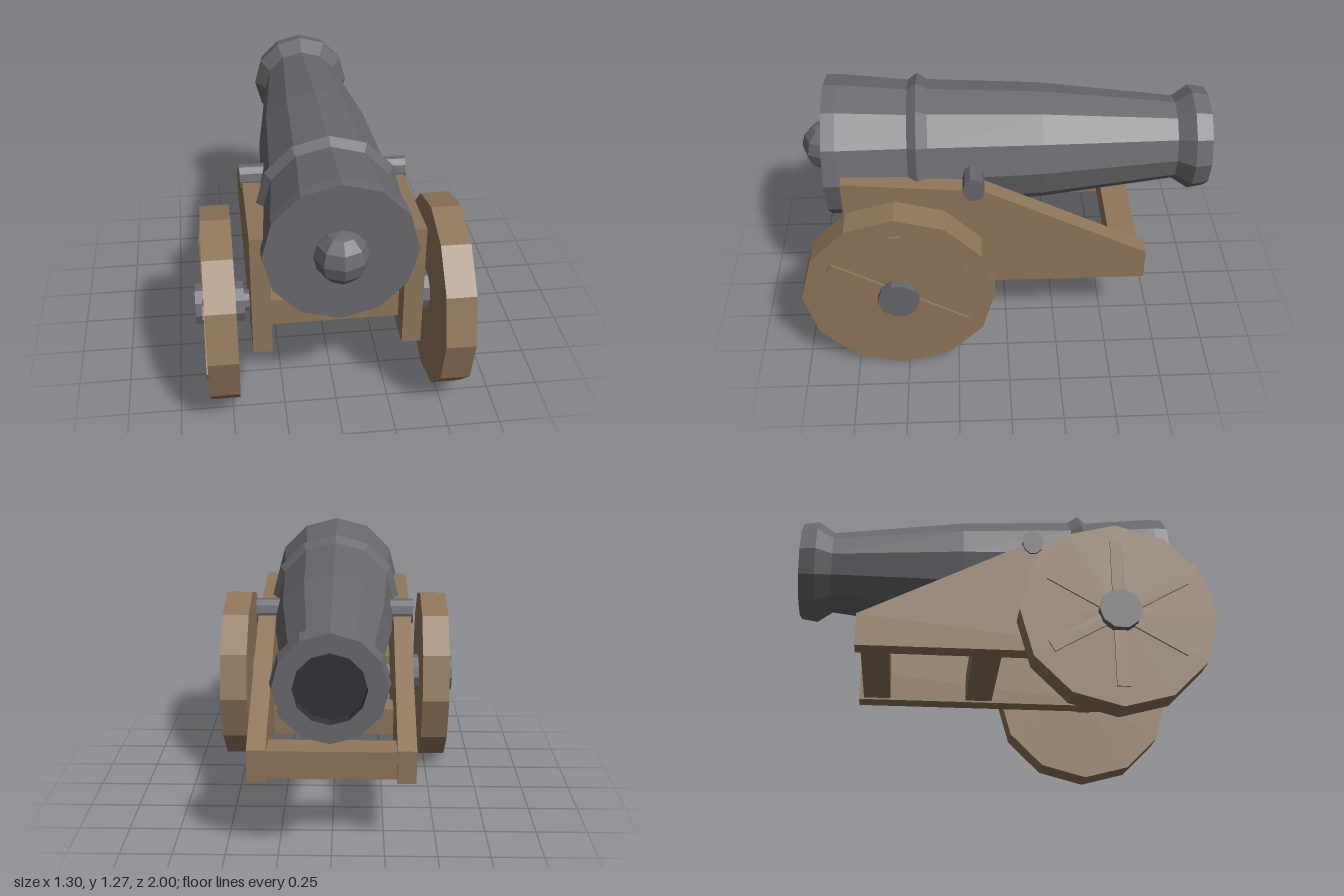
import * as THREE from 'three';

const steel = new THREE.MeshStandardMaterial({ color: 0x69686d, flatShading: true });
const wood = new THREE.MeshStandardMaterial({ color: 0x8f765a, flatShading: true });
const dark = new THREE.MeshStandardMaterial({ color: 0x343238, flatShading: true });

const AXIS_Y = 0.933;               // height of the barrel axis
const WHEEL = { y: 0.468, z: 0.527, r: 0.463 };

function add(parent, name, geometry, material, x = 0, y = 0, z = 0) {
  const mesh = new THREE.Mesh(geometry, material);
  mesh.name = name;
  mesh.position.set(x, y, z);
  parent.add(mesh);
  return mesh;
}

// Cylinder lying along x
const rod = (r, length, sides) =>
  new THREE.CylinderGeometry(r, r, length, sides).rotateZ(Math.PI / 2);

// Turned shape along z from [radius, z] pairs
const turned = (pairs) =>
  new THREE.LatheGeometry(pairs.map(([r, z]) => new THREE.Vector2(r, z)), 12).rotateX(Math.PI / 2);

function buildBarrel() {
  const barrel = new THREE.Group();
  barrel.name = 'barrel';
  barrel.position.y = AXIS_Y;
  add(barrel, 'barrelBody', turned([
    [0.16, -1], [0.247, -1], [0.26, -0.92], [0.207, -0.84],
    [0.285, -0.18], [0.313, 0.37], [0.345, 0.423], [0.313, 0.467],
    [0.347, 0.8], [0.347, 0.865], [0, 0.865],
  ]), steel);
  add(barrel, 'bore', turned([[0, -0.94], [0.16, -0.94], [0.16, -1]]), dark);
  add(barrel, 'breechKnob', new THREE.SphereGeometry(0.125, 8, 6), steel, 0, 0, 0.875);
  // Pivot pins resting on the cheeks
  for (const s of [1, -1]) {
    const pin = add(barrel, 'trunnion', rod(0.065, 0.2, 10), steel, s * 0.305, 0.003, 0.157);
    pin.scale.z = 0.8;
  }
  return barrel;
}

function buildCarriage() {
  const carriage = new THREE.Group();
  carriage.name = 'carriage';
  // Side cheeks: outline drawn as (-z, y), extruded along x
  const outline = new THREE.Shape([
    [-0.78, 0.352], [0.69, 0.352], [0.69, 0.515], [-0.11, 0.922], [-0.78, 0.978],
  ].map(([a, b]) => new THREE.Vector2(a, b)));
  const cheek = new THREE.ExtrudeGeometry(outline, { depth: 0.09, bevelEnabled: false })
    .rotateY(Math.PI / 2);
  add(carriage, 'leftCheek', cheek, wood, 0.304);
  add(carriage, 'rightCheek', cheek, wood, -0.394);
  // Cross bars between the cheeks
  for (const [y, z] of [[0.43, -0.595], [0.43, -0.06], [0.491, 0.597]]) {
    add(carriage, 'crossBar', new THREE.BoxGeometry(0.62, 0.138, 0.138), wood, 0, y, z);
  }
  add(carriage, 'axle', rod(0.054, 1, 10), steel, 0, WHEEL.y, WHEEL.z);
  return carriage;
}

function buildWheel(side) {
  const wheel = new THREE.Group();
  wheel.name = side > 0 ? 'leftWheel' : 'rightWheel';
  wheel.position.set(side * 0.535, WHEEL.y, WHEEL.z);
  add(wheel, 'wheelDisc', rod(WHEEL.r, 0.14, 12), wood);
  add(wheel, 'hub', rod(0.1, 0.23, 10), steel);
  // Raised spokes on the outer face
  for (let i = 0; i < 3; i++) {
    const spoke = add(wheel, 'spoke', new THREE.BoxGeometry(0.02, 0.738, 0.06), wood, side * 0.07);
    spoke.rotation.x = i * Math.PI / 3;
  }
  return wheel;
}

export function createModel() {
  const model = new THREE.Group();
  model.name = 'cannon';
  model.add(buildBarrel(), buildCarriage(), buildWheel(1), buildWheel(-1));
  return model;
}
